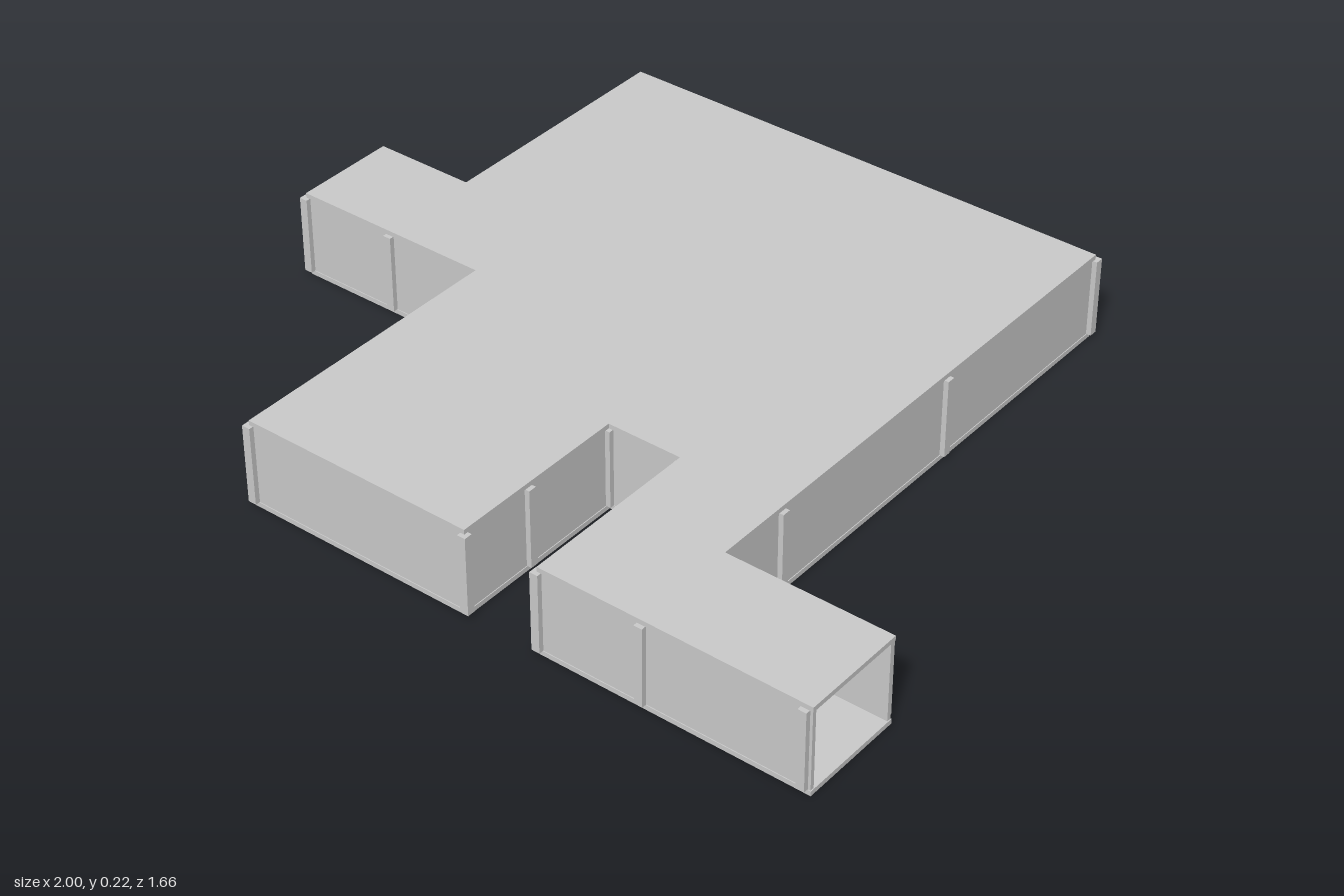
import * as THREE from 'three';

const material = new THREE.MeshStandardMaterial({ color: 0xcccccc, flatShading: true });
const SLAB = 0.012, TOP = 0.224, WALL = 0.01, POST = 0.021;

// Floor plan corners as [x, z]
const PLAN = [
  [-0.73, -0.82], [0.585, -0.82], [0.585, 0.552], [1, 0.552], [1, 0.82],
  [0.32, 0.82], [0.32, 0.36], [0.13, 0.36], [0.13, 0.82], [-0.47, 0.82],
  [-0.47, 0.095], [-0.99, 0.095], [-0.99, -0.17], [-0.73, -0.17],
];
const OPEN_SIDE = 3;   // the edge left open as an entrance
const ARCH_SIDE = 11;  // the edge with an arched doorway

// Posts standing between corners along the longer walls
const MID_POSTS = [
  [-0.14, -0.82], [0.585, -0.23], [0.585, 0.36], [0.585, 0.82], [0.13, 0.62],
  [-0.47, 0.62], [-0.47, 0.36], [-0.73, 0.095], [-0.73, -0.56],
];

function addMesh(group, name, geometry, x = 0, y = 0, z = 0) {
  const mesh = new THREE.Mesh(geometry, material);
  mesh.name = name;
  mesh.position.set(x, y, z);
  group.add(mesh);
  return mesh;
}

// Horizontal plate in the shape of the plan, from y = 0 down by its thickness
function slabGeometry() {
  const shape = new THREE.Shape(PLAN.map(([x, z]) => new THREE.Vector2(x, z)));
  return new THREE.ExtrudeGeometry(shape, { depth: SLAB, bevelEnabled: false }).rotateX(Math.PI / 2);
}

// Upright panel centred on its length, optionally with an arched doorway
function wallGeometry(length, height, arched) {
  const half = length / 2 - 0.002;
  const shape = new THREE.Shape();
  shape.moveTo(-half, 0);
  if (arched) {
    const r = 0.052, spring = 0.105;
    shape.lineTo(-r, 0);
    shape.lineTo(-r, spring);
    shape.absarc(0, spring, r, Math.PI, 0, true);
    shape.lineTo(r, 0);
  }
  shape.lineTo(half, 0);
  shape.lineTo(half, height);
  shape.lineTo(-half, height);
  shape.closePath();
  return new THREE.ExtrudeGeometry(shape, { depth: WALL, bevelEnabled: false, curveSegments: 16 });
}

export function createModel() {
  const model = new THREE.Group();
  model.name = 'roomBlock';

  // Floor and roof
  addMesh(model, 'floor', slabGeometry(), 0, SLAB, 0);
  addMesh(model, 'roof', slabGeometry(), 0, TOP, 0);

  // Walls just inside each edge of the plan
  const height = TOP - 2 * SLAB;
  PLAN.forEach(([x, z], i) => {
    if (i === OPEN_SIDE) return;
    const [x2, z2] = PLAN[(i + 1) % PLAN.length];
    const dx = x2 - x, dz = z2 - z;
    const length = Math.hypot(dx, dz);
    const arched = i === ARCH_SIDE;
    const wall = new THREE.Group();
    wall.name = arched ? 'doorWall' : 'wallSide';
    wall.position.set((x + x2) / 2, SLAB, (z + z2) / 2);
    wall.rotation.y = -Math.atan2(dz, dx);
    addMesh(wall, arched ? 'doorPanel' : 'wallPanel', wallGeometry(length, height, arched), 0, 0, 0.002);
    model.add(wall);
  });

  // Square posts at corners and along the walls
  const post = new THREE.BoxGeometry(POST, height, POST);
  for (const [x, z] of [...PLAN, ...MID_POSTS]) {
    addMesh(model, 'post', post, Math.min(x, 0.981), TOP / 2, z);
  }
  return model;
}
